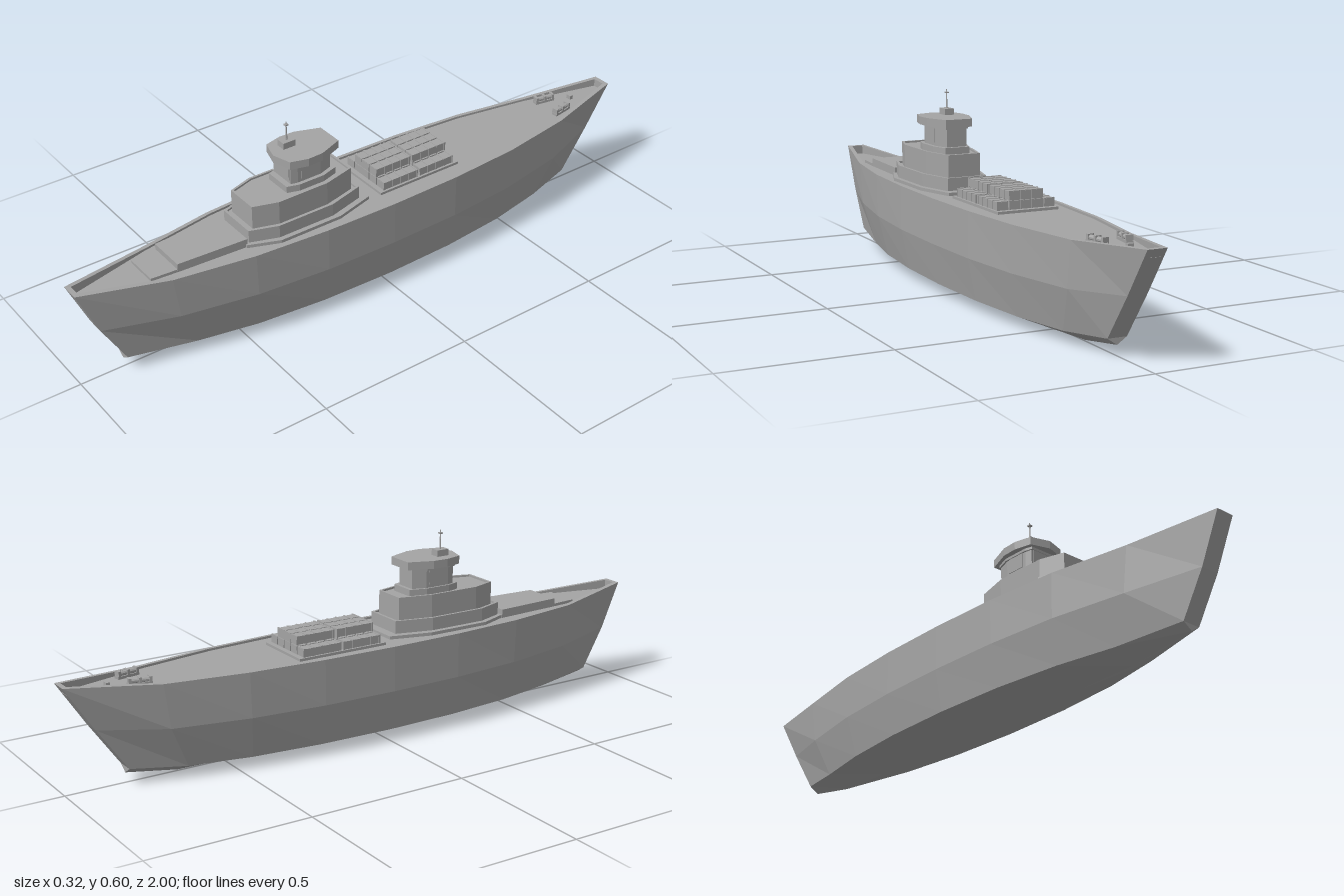
import * as THREE from 'three';

const grey = new THREE.MeshStandardMaterial({ color: 0xa4a4a4, flatShading: true });
grey.name = 'ship grey';

const DECK = 0.298;

// Faceted hull, lofted through cross-sections from bow to stern
function hullGeometry() {
  // z at rim, middle and chine; half-widths there; heights of rim, middle, chine and keel
  const half = [
    [0.73, 0.71, 0.65, 0.095, 0.092, 0.07, 0.305, 0.168, 0.037, 0.003],
    [0.48, 0.475, 0.46, 0.137, 0.135, 0.107, 0.305, 0.166, 0.036, 0.001],
    [0.24, 0.24, 0.24, 0.155, 0.155, 0.129, 0.305, 0.165, 0.036, 0],
    [0, 0, 0, 0.16, 0.16, 0.136, 0.305, 0.165, 0.036, 0],
  ];
  const aft = half.slice(0, 3).reverse().map(([a, b, c, ...rest]) => [-a, -b, -c, ...rest]);
  const stations = [
    [1, 0.935, 0.86, 0.03, 0.03, 0.03, 0.327, 0.18, 0.05, 0.03],
    ...half, ...aft,
    [-1, -0.91, -0.815, 0.03, 0.03, 0.03, 0.323, 0.185, 0.05, 0.03],
  ];
  const rings = stations.map(([z0, z1, z2, w0, w1, w2, y0, y1, y2, yk]) => {
    const zi = z0 * 0.985, wi = w0 - 0.011;
    return [
      [w0, y0, z0], [w1, y1, z1], [w2, y2, z2], [0, yk, z2], [-w2, y2, z2], [-w1, y1, z1], [-w0, y0, z0],
      [-wi, y0, zi], [-wi, DECK, zi], [wi, DECK, zi], [wi, y0, zi],
    ];
  });
  const pos = [];
  const face = (...p) => {
    for (let k = 1; k < p.length - 1; k++) pos.push(...p[0], ...p[k], ...p[k + 1]);
  };
  for (let i = 0; i < rings.length - 1; i++) {
    for (let j = 0; j < 11; j++) {
      const n = (j + 1) % 11;
      face(rings[i][j], rings[i][n], rings[i + 1][n], rings[i + 1][j]);
    }
  }
  // Stem and transom plates, with the bulwark across each end
  const ends = [[0, 6, 5, 1], [1, 5, 4, 2], [2, 4, 3], [0, 10, 7, 6], [10, 9, 8, 7]];
  for (const e of ends) {
    face(...e.map((k) => rings[0][k]));
    face(...[...e].reverse().map((k) => rings[rings.length - 1][k]));
  }
  const g = new THREE.BufferGeometry();
  g.setAttribute('position', new THREE.Float32BufferAttribute(pos, 3));
  g.computeVertexNormals();
  return g;
}

export function createModel() {
  const ship = new THREE.Group();
  ship.name = 'ship';

  const add = (name, geometry, parent = ship) => {
    const m = new THREE.Mesh(geometry, grey);
    m.name = name;
    parent.add(m);
    return m;
  };
  const box = (name, w, h, d, x, y, z, parent = ship) => {
    const m = add(name, new THREE.BoxGeometry(w, h, d), parent);
    m.position.set(x, y, z);
    return m;
  };
  // Upright prism over an [x, z] outline; inset > 0 leaves only a parapet ring
  const prism = (name, outline, y0, y1, inset = 0) => {
    const toShape = (pts) => pts.map(([x, z]) => new THREE.Vector2(x, -z));
    const shape = new THREE.Shape(toShape(outline));
    if (inset) {
      const xs = outline.map((p) => p[0]), zs = outline.map((p) => p[1]);
      const cx = (Math.min(...xs) + Math.max(...xs)) / 2, cz = (Math.min(...zs) + Math.max(...zs)) / 2;
      const sx = 1 - (2 * inset) / (Math.max(...xs) - Math.min(...xs));
      const sz = 1 - (2 * inset) / (Math.max(...zs) - Math.min(...zs));
      shape.holes.push(new THREE.Path(toShape(outline.map(([x, z]) => [cx + (x - cx) * sx, cz + (z - cz) * sz]))));
    }
    const g = new THREE.ExtrudeGeometry(shape, { depth: y1 - y0, bevelEnabled: false });
    g.rotateX(-Math.PI / 2);
    return add(name, g).translateY(y0);
  };
  // Long octagon: side half-width, end half-widths, and z range
  const octagon = (cx, w, front, back, z0, z1, cutBack = 0.3, cutFront = 0.22) => {
    const d = z1 - z0, a = z0 + d * cutBack, b = z1 - d * cutFront;
    return [
      [cx - front, z1], [cx + front, z1], [cx + w, b], [cx + w, a],
      [cx + back, z0], [cx - back, z0], [cx - w, a], [cx - w, b],
    ];
  };

  add('hull', hullGeometry());

  // Stepped deckhouse with low parapets
  prism('deckhouse base', octagon(0.005, 0.113, 0.075, 0.078, 0.04, 0.475), DECK, 0.308);
  const lower = octagon(0.006, 0.097, 0.066, 0.066, 0.07, 0.463);
  prism('lower deckhouse', lower, DECK, 0.342);
  prism('lower parapet', lower, 0.342, 0.348, 0.008);
  const upper = octagon(0.006, 0.08, 0.055, 0.054, 0.09, 0.442);
  prism('upper deckhouse', upper, 0.34, 0.41);
  prism('upper parapet', upper, 0.41, 0.416, 0.007);

  // Bridge with window panels and overhanging roof
  prism('bridge plinth', octagon(0.006, 0.058, 0.046, 0.042, 0.138, 0.315), 0.408, 0.431);
  prism('bridge', octagon(0.003, 0.049, 0.044, 0.034, 0.15, 0.297, 0.3, 0.15), 0.43, 0.497);
  box('front window', 0.078, 0.046, 0.004, 0.003, 0.464, 0.298);
  for (const s of [-1, 1]) box('side window', 0.004, 0.046, 0.06, 0.003 + s * 0.049, 0.464, 0.234);
  prism('window head', octagon(0.003, 0.054, 0.047, 0.038, 0.146, 0.302, 0.3, 0.15), 0.487, 0.497);
  prism('bridge roof', [
    [0.006, 0.328], [0.066, 0.31], [0.082, 0.255], [0.08, 0.205], [0.05, 0.128],
    [-0.04, 0.128], [-0.068, 0.205], [-0.07, 0.255], [-0.056, 0.31],
  ], 0.495, 0.52);

  // Mast
  const mast = new THREE.Group();
  mast.name = 'mast';
  mast.position.set(-0.017, 0, 0.265);
  ship.add(mast);
  box('mast base', 0.031, 0.022, 0.042, 0, 0.529, 0, mast);
  add('mast pole', new THREE.CylinderGeometry(0.0015, 0.003, 0.062, 8), mast).position.y = 0.569;
  box('mast crossbar', 0.011, 0.004, 0.011, 0, 0.59, 0, mast);

  // Raised foredeck hatch and lower panel ahead of it
  prism('foredeck hatch', [[-0.075, 0.47], [0.075, 0.47], [0.062, 0.695], [-0.062, 0.695]], DECK, 0.325);
  prism('foredeck panel', [[-0.062, 0.69], [0.062, 0.69], [0.055, 0.778], [-0.055, 0.778]], DECK, 0.307);

  // Container stacks: outer columns one tier, inner columns two
  const cargo = new THREE.Group();
  cargo.name = 'cargo';
  ship.add(cargo);
  const columns = [[-0.088, 1], [-0.049, 2], [-0.011, 2], [0.027, 2], [0.065, 1]];
  for (const [x, tiers] of columns) {
    for (let t = 0; t < tiers; t++) {
      for (const z of [-0.081, -0.219]) {
        const y = 0.318 + t * 0.029;
        box('container', 0.033, 0.025, 0.13, x, y, z, cargo);
        for (let r = -2; r <= 2; r++) box('container rib', 0.036, 0.028, 0.005, x, y, z + r * 0.031, cargo);
      }
    }
  }
  box('cargo bed', 0.2, 0.008, 0.3, -0.011, 0.302, -0.15);

  // Mooring gear near the stern
  for (const s of [-1, 1]) {
    const winch = new THREE.Group();
    winch.name = 'winch';
    winch.position.set(s * 0.042, DECK, -0.777);
    winch.rotation.y = s * 0.17;
    ship.add(winch);
    box('winch bed', 0.02, 0.008, 0.07, 0, 0.004, 0, winch);
    for (const z of [-0.03, 0, 0.03]) box('winch cheek', 0.02, 0.022, 0.008, 0, 0.012, z, winch);
    const drum = add('winch drum', new THREE.CylinderGeometry(0.008, 0.008, 0.06, 10), winch);
    drum.rotation.x = Math.PI / 2;
    drum.position.y = 0.013;
  }
  box('stern capstan', 0.018, 0.014, 0.012, -0.006, 0.304, -0.86);

  return ship;
}
